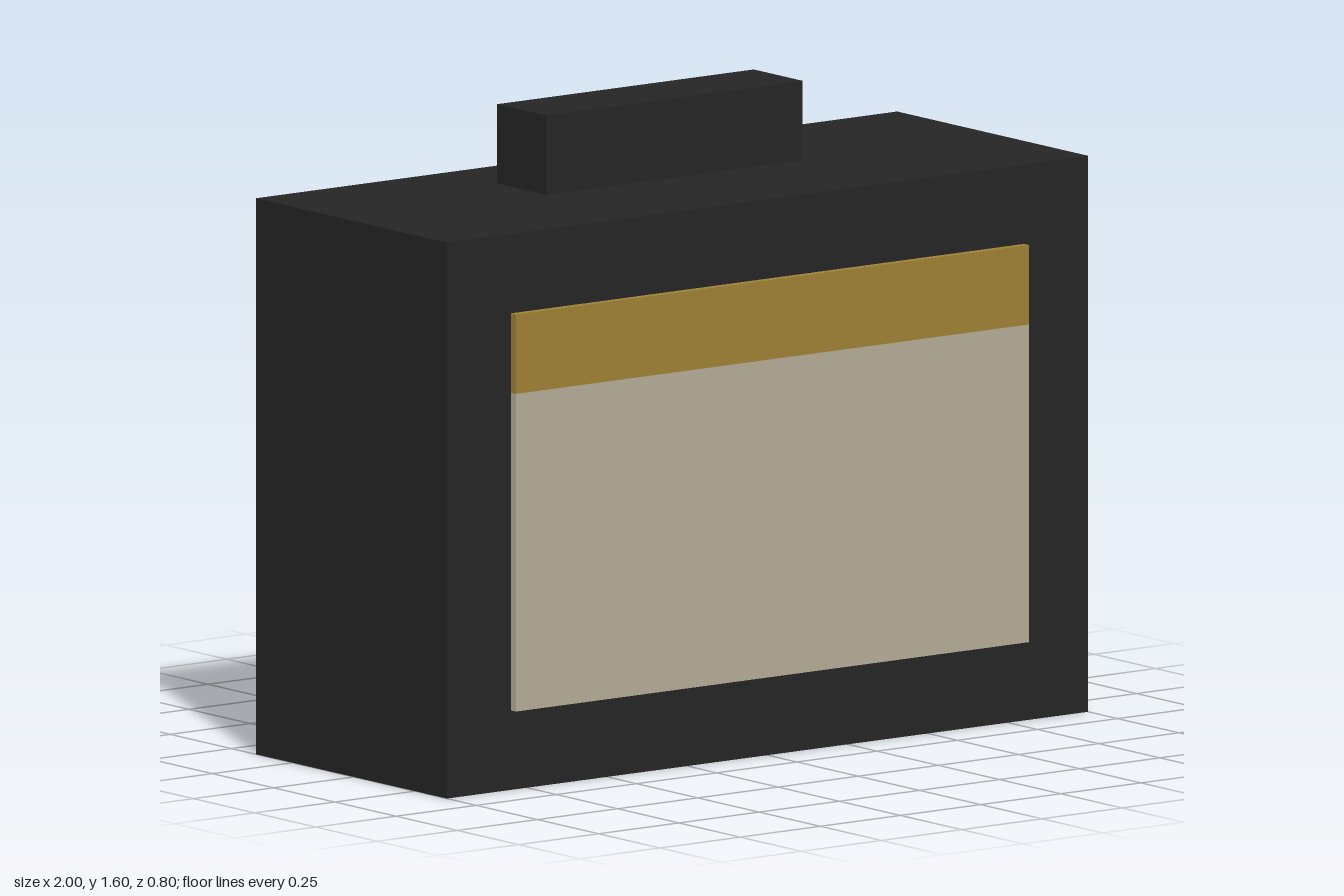
import * as THREE from 'three';

const PY = 2, NY = 3, NZ = 5; // box face numbers: top, bottom, back

function material(name, color) {
  const m = new THREE.MeshStandardMaterial({ color, side: THREE.DoubleSide });
  m.name = name;
  return m;
}

// Thin-walled box between two corners, leaving out the listed faces
function shell(name, mat, min, max, openFaces) {
  const size = max.map((v, i) => v - min[i]);
  const geo = new THREE.BoxGeometry(...size);
  const index = Array.from(geo.index.array);
  geo.setIndex(index.filter((_, i) => !openFaces.includes(Math.floor(i / 6))));
  geo.clearGroups();
  geo.translate(...max.map((v, i) => (v + min[i]) / 2));
  const mesh = new THREE.Mesh(geo, mat);
  mesh.name = name;
  return mesh;
}

export function createModel() {
  const black = material('black', 0x252525);
  const beige = material('beige', 0xb5ac97);
  const gold = material('gold', 0x9f8136);

  const model = new THREE.Group();
  model.name = 'box';
  model.add(
    // Main case, open underneath
    shell('case', black, [-1, 0, -0.4], [1, 1.4, 0.38], [NY]),
    // Raised block on the lid
    shell('topBlock', black, [-0.4, 1.4, -0.2], [0.4, 1.6, 0], [NY]),
    // Front panel, open at the back and reaching into the case
    shell('panel', beige, [-0.8, 0.2, 0.2], [0.8, 1, 0.4], [NZ, PY]),
    shell('panelBand', gold, [-0.8, 1, 0.2], [0.8, 1.2, 0.4], [NZ, NY]),
  );
  return model;
}
